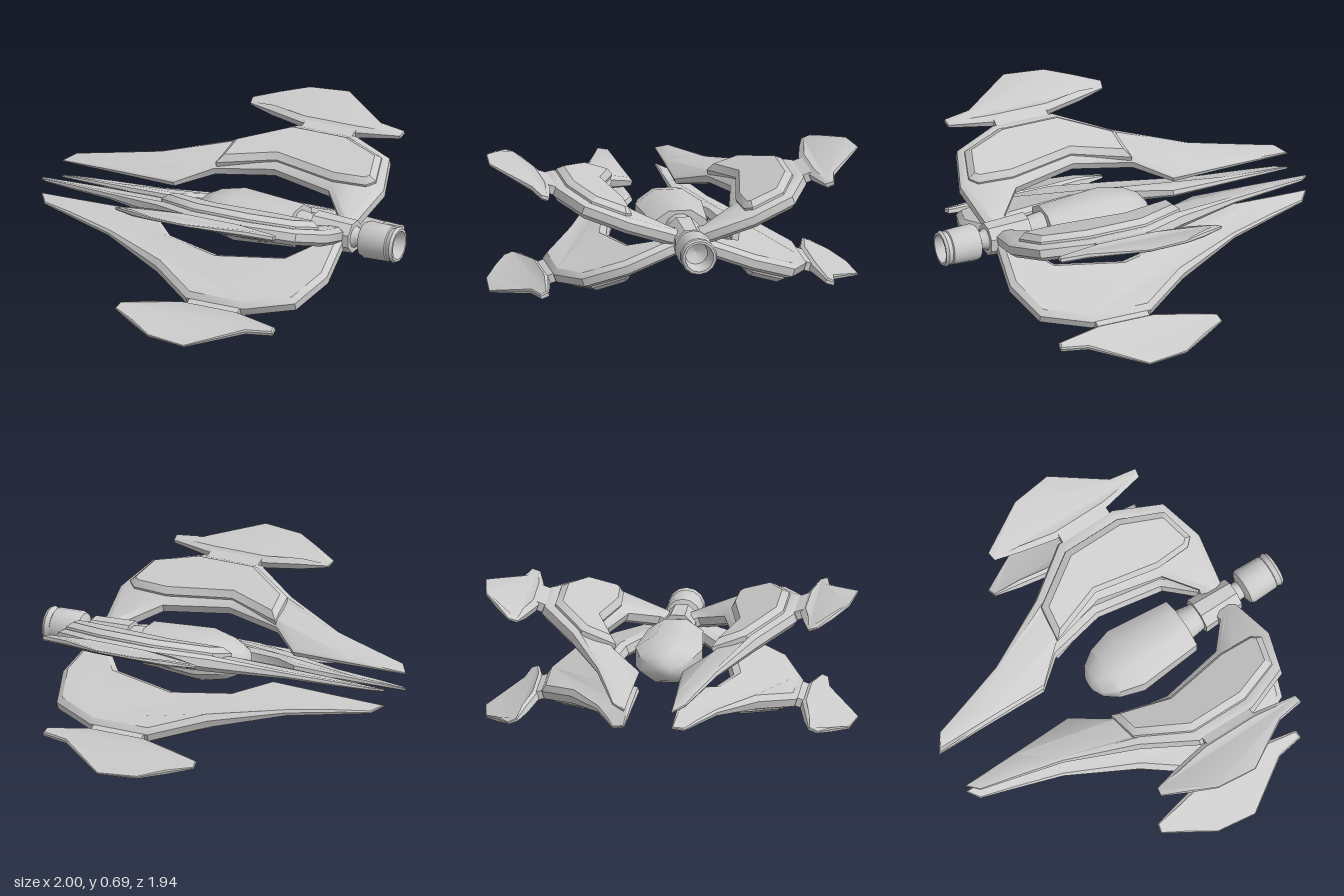
import * as THREE from 'three';
import { toCreasedNormals } from 'three/addons/utils/BufferGeometryUtils.js';

const AXIS_Y = 0.355, TILT = 0.34;
const material = new THREE.MeshStandardMaterial({ color: 0xcccccc, side: THREE.DoubleSide });

function makeMesh(name, geometry, crease = 0.6) {
  const m = new THREE.Mesh(toCreasedNormals(geometry, crease), material);
  m.name = name;
  return m;
}

// Piecewise linear rule through [position, value] pairs
function ramp(v, pairs) {
  if (v <= pairs[0][0]) return pairs[0][1];
  for (let i = 1; i < pairs.length; i++) {
    const [a, fa] = pairs[i - 1], [b, fb] = pairs[i];
    if (v <= b) return fa + (fb - fa) * (v - a) / (b - a);
  }
  return pairs[pairs.length - 1][1];
}

// Bevelled slab: outline in (x, span), layers of [height, inset], thickness scaled by a rule.
// side = -1 turns it upside down.
function slab(outline, layers, side = 1, scale = () => 1) {
  let pts = outline.map(p => new THREE.Vector2(...p));
  if (THREE.ShapeUtils.area(pts) < 0) pts.reverse();
  const n = pts.length, pos = [], index = [];
  const inward = pts.map((p, i) => {
    const a = p.clone().sub(pts[(i + n - 1) % n]).normalize();
    const b = pts[(i + 1) % n].clone().sub(p).normalize();
    return new THREE.Vector2(-a.y - b.y, a.x + b.x).divideScalar(Math.max(0.5, 1 + a.dot(b)));
  });
  const stack = side > 0 ? layers : layers.map(([h, d]) => [-h, d]).reverse();
  for (const [h, d] of stack) {
    pts.forEach((p, i) => {
      const f = scale(p.x, p.y);
      pos.push(p.x + inward[i].x * d * f, h * f, p.y + inward[i].y * d * f);
    });
  }
  for (let k = 0; k < stack.length - 1; k++) {
    for (let i = 0; i < n; i++) {
      const a = k * n + i, b = k * n + (i + 1) % n;
      index.push(a, b + n, b, a, a + n, b + n);
    }
  }
  const top = (stack.length - 1) * n;
  for (const [a, b, c] of THREE.ShapeUtils.triangulateShape(pts, [])) {
    index.push(a, b, c, top + a, top + c, top + b);
  }
  const g = new THREE.BufferGeometry();
  g.setAttribute('position', new THREE.Float32BufferAttribute(pos, 3));
  g.setIndex(index);
  return g;
}

// Profile of [x, radius] turned around the long axis
function turned(profile, sides) {
  const g = new THREE.LatheGeometry(profile.map(([x, r]) => new THREE.Vector2(r, x)), sides);
  g.rotateY(Math.PI / sides);
  g.rotateZ(-Math.PI / 2);
  return g;
}

const WING = [[-1, 0.13], [-0.95, 0.2], [-0.78, 0.25], [-0.52, 0.33], [-0.16, 0.51], [0.1, 0.695],
  [0.43, 0.695], [0.675, 0.585], [0.75, 0.35], [0.715, 0.09], [0.69, 0.03], [0.58, 0.03], [0.6, 0.11],
  [0.47, 0.27], [0.12, 0.345], [-0.19, 0.27], [-0.355, 0.12], [-0.7, 0.127]];
const PLATE = [[-0.18, 0.28], [-0.16, 0.47], [0.1, 0.645], [0.42, 0.645], [0.65, 0.55],
  [0.7, 0.37], [0.66, 0.33], [0.47, 0.32], [0.12, 0.385]];
const FIN = [[-0.24, 0.85], [-0.11, 0.925], [0.02, 1.0], [0.235, 1.025], [0.505, 0.84], [0.65, 0.815],
  [0.645, 0.77], [0.41, 0.725], [0.1, 0.725], [-0.09, 0.765], [-0.23, 0.8]];

function makeWing(side) {
  const wing = new THREE.Group();
  wing.name = 'wing';
  // Curved main wing with a long forward blade
  const bladeRule = x => ramp(x, [[-1, 0.15], [-0.78, 0.35], [-0.4, 0.5], [-0.16, 1]]);
  wing.add(makeMesh('wingBlade', slab(WING,
    [[-0.045, 0.03], [-0.022, 0], [0.02, 0], [0.04, 0.03]], side, bladeRule)));
  // Raised armour plate on the outer face
  wing.add(makeMesh('wingPlate', slab(PLATE, [[0.025, 0], [0.052, 0], [0.08, 0.03]], side)));
  // Strut holding the fin
  const strut = new THREE.BoxGeometry(0.29, 0.045, 0.1);
  strut.translate(0.265, 0, 0.7);
  wing.add(makeMesh('finStrut', strut));
  // Outer fin, thinning outwards and at both ends
  const finRule = (x, s) => ramp(s, [[0.73, 1], [0.85, 0.7], [1.02, 0.2]])
    * ramp(x, [[-0.24, 0.3], [-0.1, 1], [0.42, 1], [0.52, 0.6]]);
  wing.add(makeMesh('outerFin', slab(FIN,
    [[-0.036, 0.015], [-0.02, 0], [0.015, 0], [0.03, 0.035]], side, finRule)));
  return wing;
}

export function createModel() {
  const model = new THREE.Group();
  model.name = 'spacecraft';
  const ship = new THREE.Group();
  ship.name = 'hull';
  ship.position.y = AXIS_Y;
  model.add(ship);

  // Flattened cockpit pod at the nose
  const k = 1 / Math.cos(Math.PI / 8);
  const pod = turned([[-0.155, 0], [-0.15, 0.04], [-0.12, 0.09], [-0.05, 0.137], [0.08, 0.174],
    [0.425, 0.143], [0.43, 0]].map(([x, r]) => [x, r * k]), 8);
  pod.scale(1, 0.69, 1);
  ship.add(makeMesh('cockpitPod', pod, 0.9));

  // Spine and hub where the wings meet
  ship.add(makeMesh('spine', turned([[0.4, 0], [0.4, 0.08], [0.44, 0.085], [0.535, 0.07], [0.535, 0]], 12)));
  ship.add(makeMesh('wingHub', turned([[0.52, 0], [0.52, 0.098], [0.745, 0.086], [0.745, 0]], 8)));

  // Engine neck and hollow nozzle
  ship.add(makeMesh('engineNeck', turned([[0.74, 0], [0.74, 0.06], [0.765, 0.048], [0.81, 0.048]], 12)));
  ship.add(makeMesh('engineNozzle', turned([[0.785, 0], [0.785, 0.05], [0.8, 0.09], [0.82, 0.098],
    [0.955, 0.093], [0.96, 0.086], [0.985, 0.096], [1, 0.088], [1, 0.075], [0.9, 0.06], [0.87, 0]], 14)));

  // Four wings in an X; opposite wings are half turns of each other
  for (const side of [1, -1]) {
    for (const turn of [0, Math.PI]) {
      const wing = makeWing(side);
      wing.rotation.x = turn - side * TILT;
      ship.add(wing);
    }
  }
  return model;
}
